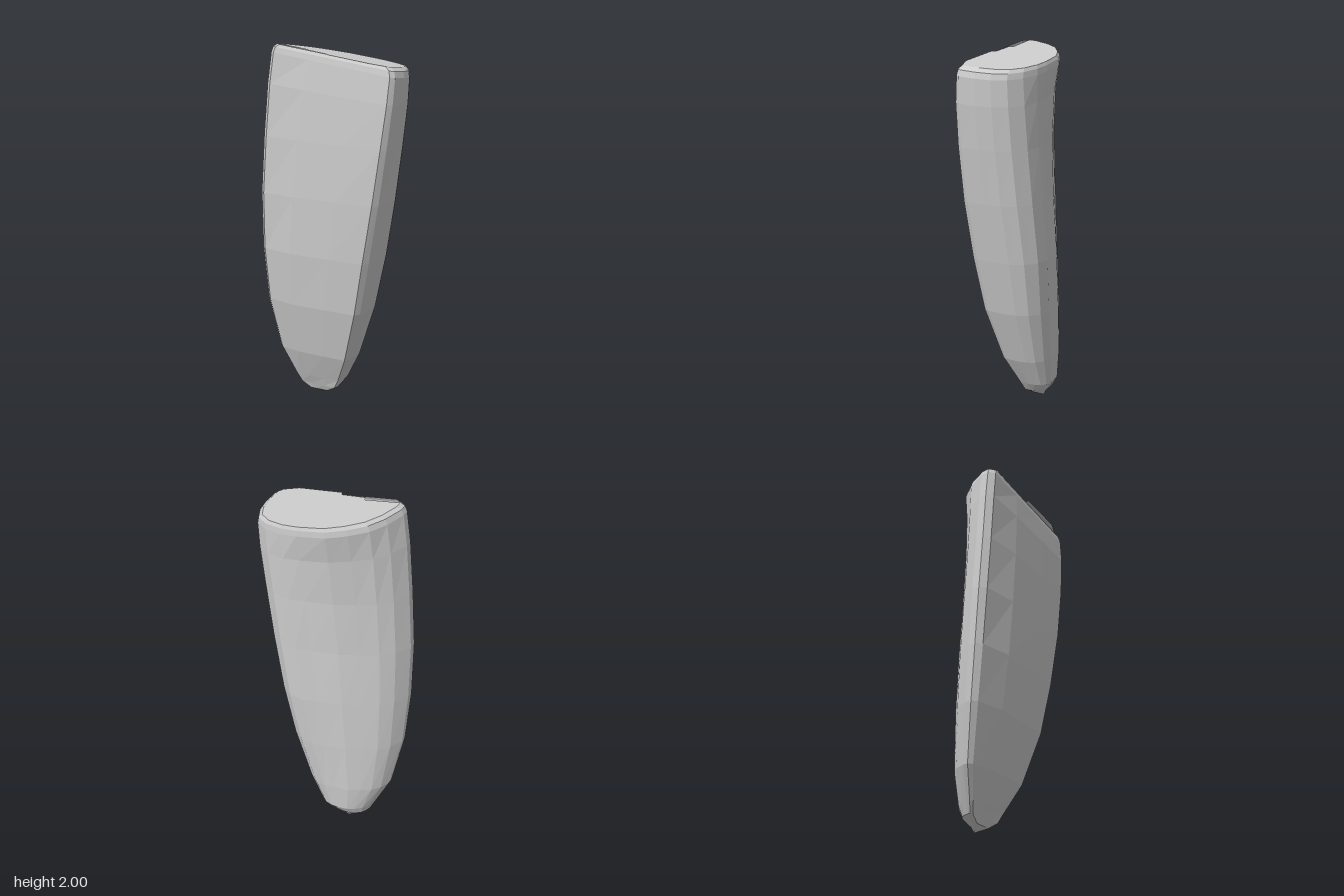
import * as THREE from 'three';

// D-shaped cross-section, counterclockwise from above:
// u (-x to +x), v (back to front), weight of the broad-side bulge, weight of the rear hollow
const SECTION = [
  [0.40, 0.985, 0.8, 0], [0.46, 1, 0.5, 0], [0.645, 0.97, 0, 0], [0.81, 0.92, 0, 0],
  [0.94, 0.845, 0, 0], [1, 0.73, 0, 0], [1, 0.59, 0, 0.25], [0.96, 0.465, 0, 0.7],
  [0.85, 0.27, 0, 1], [0.71, 0.155, 0, 1], [0.54, 0.06, 0, 0.7], [0.35, 0.015, 0, 0.3],
  [0.125, 0, 0, 0], [0.04, 0.015, 0, 0], [0, 0.07, 0, 0],
  [0.122, 0.35, 1, 0], [0.275, 0.7, 1, 0],
];

// Levels from tip to top: y, xMin, xMax, zMin, zMax, tilt, bulge, hollow
const LEVELS = [
  [0.03, -0.03, 0.06, -0.22, -0.11, 0, 0, 0],
  [0.065, -0.055, 0.095, -0.275, -0.05, 0, 0, 0],
  [0.12, -0.08, 0.14, -0.297, -0.015, 0, 0.01, 0.005],
  [0.28, -0.14, 0.17, -0.36, 0.08, 0, 0.025, 0.022],
  [0.58, -0.205, 0.21, -0.395, 0.19, 0, 0.037, 0.045],
  [0.88, -0.237, 0.237, -0.40, 0.26, 0, 0.04, 0.06],
  [1.2, -0.25, 0.243, -0.39, 0.325, 0, 0.03, 0.065],
  [1.5, -0.246, 0.246, -0.365, 0.37, 0.2, 0.02, 0.055],
  [1.75, -0.236, 0.25, -0.34, 0.397, 0.7, 0.01, 0.033],
  [1.9, -0.225, 0.25, -0.318, 0.402, 1, 0, 0],
  [1.93, -0.218, 0.248, -0.308, 0.392, 1, 0, 0],
  [1.947, -0.205, 0.24, -0.287, 0.365, 1, 0, 0],
];

// Ragged inner edge of the top face beside the broad side: x, z
const NOTCH = [[-0.185, -0.275], [-0.13, -0.1], [-0.15, -0.09], [-0.118, 0.04], [-0.138, 0.05], [-0.075, 0.29]];

// The top slopes down toward the front and the +x side
const slope = (x, z) => -0.11 * (x + z);

function ring([y, x0, x1, z0, z1, tilt, bulge, hollow]) {
  return SECTION.map(([u, v, wBulge, wHollow]) => {
    const x = x0 + u * (x1 - x0) - wBulge * bulge - 0.8 * wHollow * hollow;
    const z = z0 + v * (z1 - z0) + 0.6 * wHollow * hollow;
    return [x, y + tilt * slope(x, z), z];
  });
}

function makeMesh(name, positions, material) {
  const geometry = new THREE.BufferGeometry();
  geometry.setAttribute('position', new THREE.Float32BufferAttribute(positions, 3));
  geometry.computeVertexNormals();
  const mesh = new THREE.Mesh(geometry, material);
  mesh.name = name;
  return mesh;
}

// Triangles from a centre to each edge of a closed outline
function fan(centre, outline) {
  return outline.flatMap((p, i) => [...centre, ...p, ...outline[(i + 1) % outline.length]]);
}

export function createModel() {
  const group = new THREE.Group();
  group.name = 'taperedTooth';
  const material = new THREE.MeshStandardMaterial({
    color: 0xcccccc, flatShading: true, side: THREE.DoubleSide,
  });
  const rings = LEVELS.map(ring);
  const n = SECTION.length;

  // Body wall lofted through the rings
  const wall = [];
  for (let i = 0; i < rings.length - 1; i++) {
    for (let j = 0; j < n; j++) {
      const k = (j + 1) % n;
      const a = rings[i][j], b = rings[i][k], c = rings[i + 1][k], d = rings[i + 1][j];
      wall.push(...a, ...b, ...c, ...a, ...c, ...d);
    }
  }
  group.add(makeMesh('body', wall, material));

  // Sloping top face, with a narrow ragged gap along the broad side
  const onTop = (x, z) => [x, 1.947 + slope(x, z), z];
  const rim = rings[rings.length - 1].slice(0, 14);
  const notch = NOTCH.map(([x, z]) => onTop(x, z));
  group.add(makeMesh('topFace', fan(onTop(0.03, 0.03), [...rim, ...notch]), material));

  // Blunt tip
  group.add(makeMesh('tip', fan([0.035, 0, -0.18], [...rings[0]].reverse()), material));
  return group;
}
